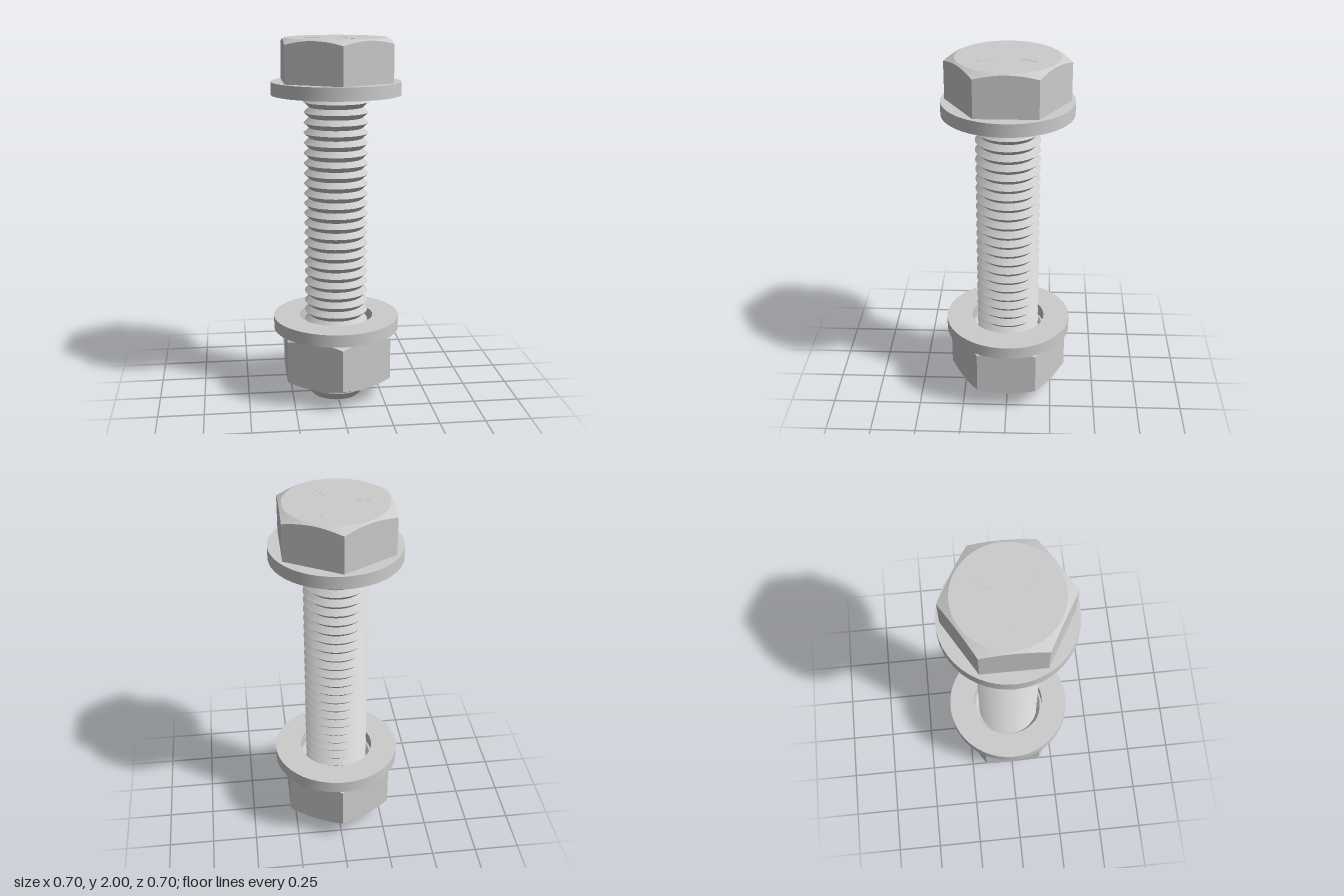
import * as THREE from 'three';
import { toCreasedNormals } from 'three/addons/utils/BufferGeometryUtils.js';

const SEGMENTS = 48;
const APOTHEM = 0.285;      // half the width across the hexagon's flats
const FACE_RADIUS = 0.272;  // circle where the chamfer meets the flat face
const SLOPE = 0.5;          // chamfer drop per unit of radius

const material = new THREE.MeshStandardMaterial({ color: 0xcccccc });

// Radius of a hexagon with corners on +z and -z
const hexRadius = (a) => APOTHEM / Math.cos((a % (Math.PI / 3)) - Math.PI / 6);

// Sweeps a [radius, y] profile, which may vary with the angle, around the y axis
function sweep(name, profileAt) {
  const rings = [];
  for (let i = 0; i < SEGMENTS; i++) {
    const a = (i / SEGMENTS) * Math.PI * 2;
    rings.push(profileAt(a).map(([r, y]) => [r * Math.sin(a), y, r * Math.cos(a), r]));
  }
  const positions = [];
  const triangle = (...corners) => corners.forEach(([x, y, z]) => positions.push(x, y, z));
  rings.forEach((ring, i) => {
    const next = rings[(i + 1) % SEGMENTS];
    for (let j = 0; j < ring.length - 1; j++) {
      if (ring[j][3] > 0) triangle(ring[j], next[j], next[j + 1]);
      if (ring[j + 1][3] > 0) triangle(ring[j], next[j + 1], ring[j + 1]);
    }
  });
  const geometry = new THREE.BufferGeometry();
  geometry.setAttribute('position', new THREE.Float32BufferAttribute(positions, 3));
  const mesh = new THREE.Mesh(toCreasedNormals(geometry, 0.3), material);
  mesh.name = name;
  return mesh;
}

function makeWasher(name, bottom, top) {
  const inner = 0.205, outer = 0.35;
  return sweep(name, () => [
    [inner, bottom], [outer, bottom], [outer, top], [inner, top], [inner, bottom],
  ]);
}

// Bolt head, chamfered on top only
function makeHead() {
  return sweep('head', (a) => {
    const r = hexRadius(a);
    return [[0, 1.77], [r, 1.77], [r, 2 - (r - FACE_RADIUS) * SLOPE], [FACE_RADIUS, 2], [0, 2]];
  });
}

// Nut, chamfered on both faces, with a countersunk bore
function makeNut() {
  const bottom = 0.1, top = 0.39, bore = 0.177, sink = 0.195;
  return sweep('nut', (a) => {
    const r = hexRadius(a);
    const drop = (r - FACE_RADIUS) * SLOPE;
    return [
      [sink, bottom], [FACE_RADIUS, bottom], [r, bottom + drop],
      [r, top - drop], [FACE_RADIUS, top], [sink, top],
      [bore, top - 0.02], [bore, bottom + 0.02], [sink, bottom],
    ];
  });
}

// Shank with a tapered tip and V-shaped threads
function makeShank() {
  const crest = 0.175, root = 0.145, pitch = 0.0556;
  const profile = [[0, 0], [0.137, 0], [crest, 0.048], [crest, 0.104]];
  for (let k = 1; k <= 28; k++) {
    const y = 0.104 + k * pitch;
    profile.push([root, y - pitch / 2], [crest, y]);
  }
  profile.push([root, 1.69], [root, 1.78]);
  return sweep('threadedShank', () => profile);
}

// Three thin radial bars on top of the head
function makeHeadMarks() {
  const marks = new THREE.Group();
  marks.name = 'headMarks';
  for (let i = 0; i < 3; i++) {
    const a = Math.PI / 6 + (i * Math.PI * 2) / 3;
    const bar = new THREE.Mesh(new THREE.BoxGeometry(0.012, 0.004, 0.09), material);
    bar.name = 'headMark';
    bar.position.set(Math.sin(a) * 0.13, 1.999, Math.cos(a) * 0.13);
    bar.rotation.y = a;
    marks.add(bar);
  }
  return marks;
}

export function createModel() {
  const model = new THREE.Group();
  model.name = 'boltAssembly';
  model.add(
    makeHead(),
    makeHeadMarks(),
    makeWasher('upperWasher', 1.7, 1.77),
    makeShank(),
    makeWasher('lowerWasher', 0.393, 0.462),
    makeNut(),
  );
  return model;
}
